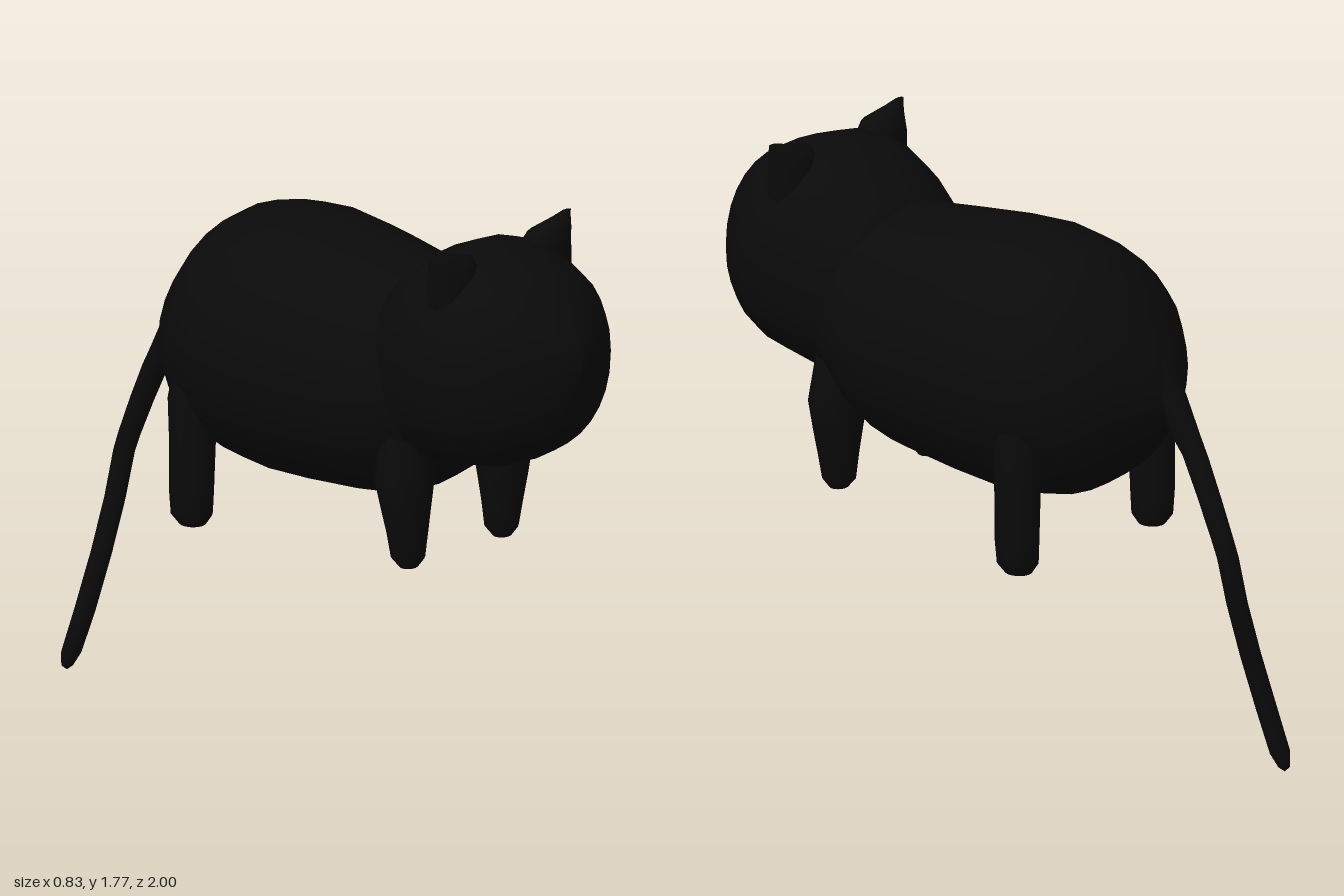
import * as THREE from 'three';

const coat = new THREE.MeshStandardMaterial({ color: 0x0a0a0a });

// Skin a row of rings; place(station, cos, sin) gives each point
function loft(name, stations, sides, place) {
  const pos = [], index = [];
  stations.forEach((s, i) => {
    for (let j = 0; j < sides; j++) {
      const t = (j / sides) * Math.PI * 2;
      pos.push(...place(s, Math.cos(t), Math.sin(t)));
      if (i === 0) continue;
      const k = (j + 1) % sides;
      const a = (i - 1) * sides + j, b = (i - 1) * sides + k;
      const c = i * sides + j, d = i * sides + k;
      index.push(a, b, c, b, d, c);
    }
  });
  const geo = new THREE.BufferGeometry();
  geo.setAttribute('position', new THREE.Float32BufferAttribute(pos, 3));
  geo.setIndex(index);
  geo.computeVertexNormals();
  const mesh = new THREE.Mesh(geo, coat);
  mesh.name = name;
  return mesh;
}

// Upright part: stations run bottom to top as [y, x, z, radiusX, radiusZ]
const upright = (name, stations, sides) =>
  loft(name, stations, sides, ([y, x, z, rx, rz], c, s) => [x + s * rx, y, z + c * rz]);

// Lengthwise part: stations run back to front as [z, bottom, top, halfWidth, x]
const lengthwise = (name, stations, sides, power) =>
  loft(name, stations, sides, ([z, lo, hi, w, x = 0], c, s) => {
    const bend = (v) => Math.sign(v) * Math.pow(Math.abs(v), 2 / power);
    return [x + bend(c) * w, (lo + hi) / 2 + (bend(s) * (hi - lo)) / 2, z];
  });

export function createModel() {
  const model = new THREE.Group();
  model.name = 'cat';

  // Body, from rump to neck
  model.add(lengthwise('body', [
    [-0.67, 1.16, 1.16, 0, -0.08], [-0.66, 1.10, 1.24, 0.07, -0.07],
    [-0.61, 1.03, 1.36, 0.18, -0.02], [-0.54, 0.92, 1.46, 0.285],
    [-0.47, 0.87, 1.545, 0.345], [-0.4, 0.83, 1.59, 0.38],
    [-0.29, 0.807, 1.62, 0.405], [-0.17, 0.80, 1.632, 0.415],
    [0, 0.81, 1.62, 0.405], [0.2, 0.83, 1.593, 0.385],
    [0.3, 0.85, 1.58, 0.36], [0.38, 0.885, 1.58, 0.335],
    [0.46, 0.94, 1.57, 0.30], [0.55, 1.02, 1.55, 0.25], [0.6, 1.25, 1.3, 0],
  ], 28, 2));

  // Head, from nape to muzzle
  model.add(lengthwise('head', [
    [0.28, 1.3, 1.4, 0], [0.3, 1.1, 1.56, 0.22], [0.37, 1.05, 1.61, 0.28],
    [0.45, 1.01, 1.675, 0.31], [0.55, 1.005, 1.72, 0.333],
    [0.64, 1.028, 1.73, 0.345], [0.73, 1.045, 1.70, 0.33],
    [0.8, 1.075, 1.675, 0.303], [0.87, 1.12, 1.635, 0.25],
    [0.93, 1.18, 1.56, 0.17], [0.97, 1.25, 1.515, 0.095],
    [0.99, 1.33, 1.475, 0.045], [1.0, 1.41, 1.41, 0],
  ], 28, 2.25));

  // Mirrored ears and legs
  for (const side of [1, -1]) {
    const label = side > 0 ? 'left' : 'right';
    model.add(upright(label + 'Ear', [
      [1.56, side * 0.19, 0.64, 0.1, 0.07], [1.68, side * 0.195, 0.64, 0.098, 0.06],
      [1.725, side * 0.21, 0.645, 0.085, 0.045], [1.75, side * 0.258, 0.645, 0.04, 0.02],
      [1.765, side * 0.283, 0.645, 0.018, 0.008], [1.769, side * 0.285, 0.645, 0, 0],
    ], 14));
    model.add(upright(label + 'FrontLeg', [
      [0.682, side * 0.2, 0.452, 0, 0], [0.69, side * 0.2, 0.452, 0.03, 0.028],
      [0.72, side * 0.2, 0.45, 0.053, 0.052], [0.8, side * 0.203, 0.45, 0.063, 0.065],
      [0.88, side * 0.207, 0.448, 0.078, 0.076], [0.98, side * 0.21, 0.445, 0.1, 0.085],
      [1.12, side * 0.2, 0.44, 0.08, 0.08],
    ], 14));
    model.add(upright(label + 'HindLeg', [
      [0.636, side * 0.3, -0.377, 0, 0], [0.642, side * 0.3, -0.377, 0.04, 0.043],
      [0.675, side * 0.303, -0.377, 0.063, 0.066], [0.75, side * 0.305, -0.376, 0.067, 0.071],
      [0.9, side * 0.302, -0.375, 0.069, 0.074], [1.05, side * 0.3, -0.375, 0.075, 0.08],
      [1.2, side * 0.29, -0.36, 0.07, 0.07],
    ], 14));
  }

  // Hanging tail, from tip to root
  model.add(upright('tail', [
    [0, -0.24, -0.978, 0, 0], [0.015, -0.24, -0.976, 0.02, 0.017],
    [0.06, -0.233, -0.965, 0.034, 0.03], [0.2, -0.212, -0.928, 0.034, 0.033],
    [0.38, -0.17, -0.9, 0.034, 0.033], [0.55, -0.128, -0.884, 0.034, 0.033],
    [0.7, -0.1, -0.872, 0.034, 0.034], [0.76, -0.093, -0.855, 0.034, 0.036],
    [0.88, -0.09, -0.805, 0.034, 0.04], [1.0, -0.09, -0.748, 0.034, 0.044],
    [1.07, -0.09, -0.7, 0.038, 0.055], [1.14, -0.088, -0.662, 0.048, 0.056],
    [1.22, -0.08, -0.62, 0.06, 0.055], [1.34, -0.06, -0.56, 0.06, 0.055],
  ], 12));

  return model;
}
